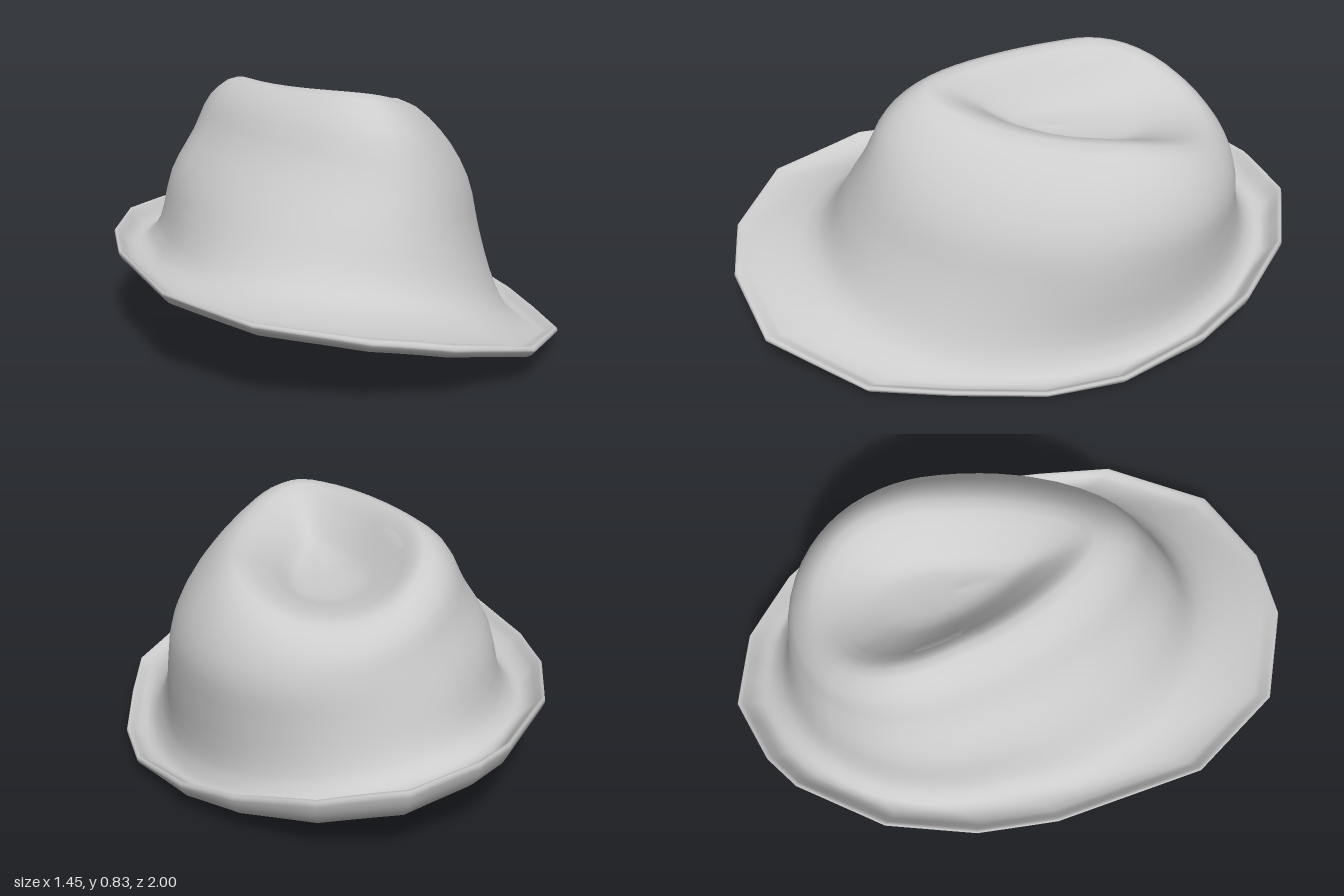
import * as THREE from 'three';
import { mergeVertices } from 'three/addons/utils/BufferGeometryUtils.js';

const TILT = 0.167; // the hat sits lower on its left side
const SUB = 3;

// brim outline (x, z), from the front round through +x
const OUTLINE = [
  [0.09, 0.995], [0.39, 0.89], [0.63, 0.57], [0.68, 0.3], [0.72, 0], [0.7, -0.26],
  [0.58, -0.55], [0.44, -0.74], [0.22, -0.92], [-0.04, -1], [-0.27, -0.93], [-0.39, -0.85],
  [-0.6, -0.58], [-0.7, -0.28], [-0.725, 0], [-0.67, 0.53], [-0.47, 0.85], [-0.16, 0.99],
];

// crown rings: centre x, half width, front z, back z, height at front / side / back,
// taper to the front, flare of the front corners
const ring = (cx, w, zf, zb, yf, ys, yb, taper = 0, flare = 0) =>
  ({ cx, w, zf, zb, yf, ys, yb, taper, flare, bendFront: 2, bendBack: 2 });
// brim rings: outline scale, height at front / side / back
const brim = (scale, yf, ys, yb) => ({ scale, yf, ys, yb, bendFront: 4, bendBack: 1.3 });

const dent = [
  ring(0.05, 0, -0.2, -0.2, 0.645, 0.645, 0.645),
  ring(0.05, 0.1, 0.02, -0.4, 0.68, 0.655, 0.64, 0.4),
  ring(0.05, 0.18, 0.18, -0.52, 0.78, 0.725, 0.655, 0.4),
];
const crown = [
  ring(0.07, 0.285, 0.31, -0.65, 0.832, 0.792, 0.655, 0.3),
  ring(0.08, 0.39, 0.45, -0.725, 0.735, 0.72, 0.585, 0.2),
  ring(0.085, 0.47, 0.53, -0.755, 0.58, 0.58, 0.5, 0.12),
  ring(0.045, 0.53, 0.605, -0.78, 0.42, 0.41, 0.38, 0.05),
  ring(0.02, 0.56, 0.68, -0.82, 0.27, 0.22, 0.25, 0, 0.13),
];
const brimRings = [
  ring(0.01, 0.6, 0.77, -0.87, 0.21, 0.15, 0.2, 0, 0.13),
  brim(0.94, 0.185, 0.135, 0.2),
  brim(0.995, 0.19, 0.162, 0.255),
  brim(1, 0.172, 0.15, 0.23),
  brim(0.94, 0.14, 0.115, 0.14),
  ring(0.01, 0.54, 0.66, -0.8, 0.175, 0.145, 0.17),
];
// lining: the outer rings moved inwards, in reverse order
const lining = [...dent, ...crown].reverse().map((r) => ({
  ...r,
  w: Math.max(0, r.w - 0.02),
  zf: r.w ? r.zf - 0.02 : r.zf,
  zb: r.w ? r.zb + 0.02 : r.zb,
  yf: r.yf - 0.02, ys: r.ys - 0.02, yb: r.yb - 0.02,
}));

// one point of a ring in the direction of an outline point
function ringPoint(r, px, pz) {
  const a = Math.atan2(px / 0.72, pz);
  const s = Math.sin(a), c = Math.cos(a);
  const front = Math.max(c, 0), back = Math.max(-c, 0);
  let x, z;
  if (r.scale) {
    x = px * r.scale;
    z = pz * r.scale;
  } else {
    const zm = r.zb + (r.zf - r.zb) * 0.45;
    x = r.cx + r.w * (s * (1 - r.taper * c + r.flare * front) - 0.06 * back); // back leans to -x
    z = zm + front * (r.zf - zm) - back * (zm - r.zb);
  }
  const rise = (r.yf - r.ys) * front ** r.bendFront + (r.yb - r.ys) * back ** r.bendBack;
  return new THREE.Vector3(x, r.ys + rise - TILT * x, z);
}

// skin stretched over the rings, smooth from ring to ring; first and last ring are points
function skin(rings) {
  const position = [], index = [];
  const cols = OUTLINE.length * SUB;
  const rows = (rings.length - 1) * SUB + 1;
  for (let i = 0; i < cols; i++) {
    const p = OUTLINE[Math.floor(i / SUB)];
    const q = OUTLINE[(Math.floor(i / SUB) + 1) % OUTLINE.length];
    const t = (i % SUB) / SUB;
    const px = p[0] + (q[0] - p[0]) * t, pz = p[1] + (q[1] - p[1]) * t;
    const curve = new THREE.CatmullRomCurve3(rings.map((r) => ringPoint(r, px, pz)));
    for (const v of curve.getPoints(rows - 1)) position.push(v.x, v.y, v.z);
    const n = ((i + 1) % cols) * rows, m = i * rows;
    for (let j = 0; j < rows - 1; j++) {
      if (j < rows - 2) index.push(m + j, m + j + 1, n + j + 1);
      if (j > 0) index.push(m + j, j < rows - 2 ? n + j + 1 : m + j + 1, n + j);
    }
  }
  let g = new THREE.BufferGeometry();
  g.setAttribute('position', new THREE.Float32BufferAttribute(position, 3));
  g.setIndex(index);
  g = mergeVertices(g, 1e-5);
  g.computeVertexNormals();
  return g;
}

export function createModel() {
  const felt = new THREE.MeshStandardMaterial({ color: 0xcccccc, side: THREE.DoubleSide });
  felt.name = 'grey felt';
  const hat = new THREE.Group();
  hat.name = 'hat';
  // crown with pinched dent, curled brim and hollow lining in one continuous skin
  const body = new THREE.Mesh(skin([...dent, ...crown, ...brimRings, ...lining]), felt);
  body.name = 'crownAndBrim';
  hat.add(body);
  return hat;
}
